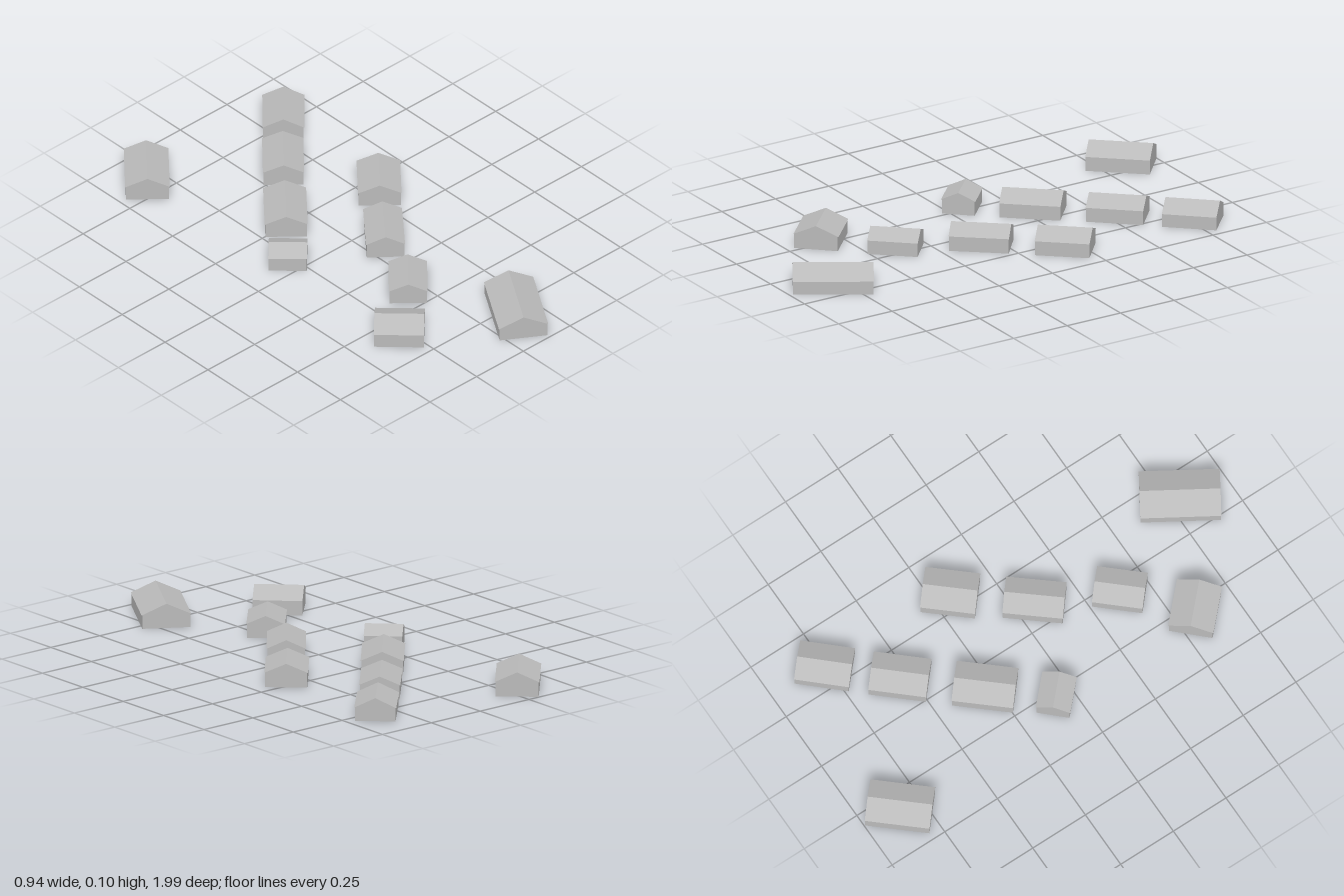
import * as THREE from 'three';

const grey = new THREE.MeshStandardMaterial({ color: 0xbababa });
grey.name = 'plainGrey';

// centre x, centre z, ridge direction x, ridge direction z, length, width, eave height, ridge height
const houses = [
  [-0.323, -0.844, 32.5, -37, 0.258, 0.176, 0.06, 0.1],
  [0.333, -0.762, 28, -30.5, 0.219, 0.166, 0.055, 0.095],
  [0.129, -0.541, 29, -32.5, 0.230, 0.163, 0.06, 0.095],
  [-0.093, -0.286, 30.5, -35, 0.245, 0.170, 0.06, 0.097],
  [-0.277, -0.071, 21, 20, 0.153, 0.138, 0.06, 0.092],
  [0.311, -0.180, 27, -31, 0.219, 0.172, 0.06, 0.097],
  [0.100, 0.079, 29, -35, 0.240, 0.154, 0.062, 0.097],
  [-0.051, 0.383, 25.5, -28.5, 0.202, 0.153, 0.058, 0.091],
  [-0.282, 0.585, 27, 26, 0.198, 0.181, 0.06, 0.1],
  [0.145, 0.800, 32, -51.5, 0.320, 0.198, 0.055, 0.1],
];

function addPart(group, name, geometry) {
  const mesh = new THREE.Mesh(geometry, grey);
  mesh.name = name;
  group.add(mesh);
}

function makeHouse([x, z, dx, dz, length, width, eave, ridge]) {
  const house = new THREE.Group();

  // walls, set in slightly below the eaves
  const walls = new THREE.BoxGeometry(width - 0.006, eave, length - 0.002);
  walls.translate(0, eave / 2, 0);
  addPart(house, 'walls', walls);

  // gabled roof running along local z
  const gable = new THREE.Shape([
    new THREE.Vector2(-width / 2, eave),
    new THREE.Vector2(width / 2, eave),
    new THREE.Vector2(0, ridge),
  ]);
  const roof = new THREE.ExtrudeGeometry(gable, { depth: length, bevelEnabled: false });
  roof.translate(0, 0, -length / 2);
  addPart(house, 'gabledRoof', roof);

  house.position.set(x, 0, z);
  house.rotation.y = Math.atan2(dx, dz);
  return house;
}

export function createModel() {
  const village = new THREE.Group();
  village.name = 'village';
  houses.forEach((spec, i) => {
    const house = makeHouse(spec);
    house.name = `house${i + 1}`;
    village.add(house);
  });
  return village;
}
